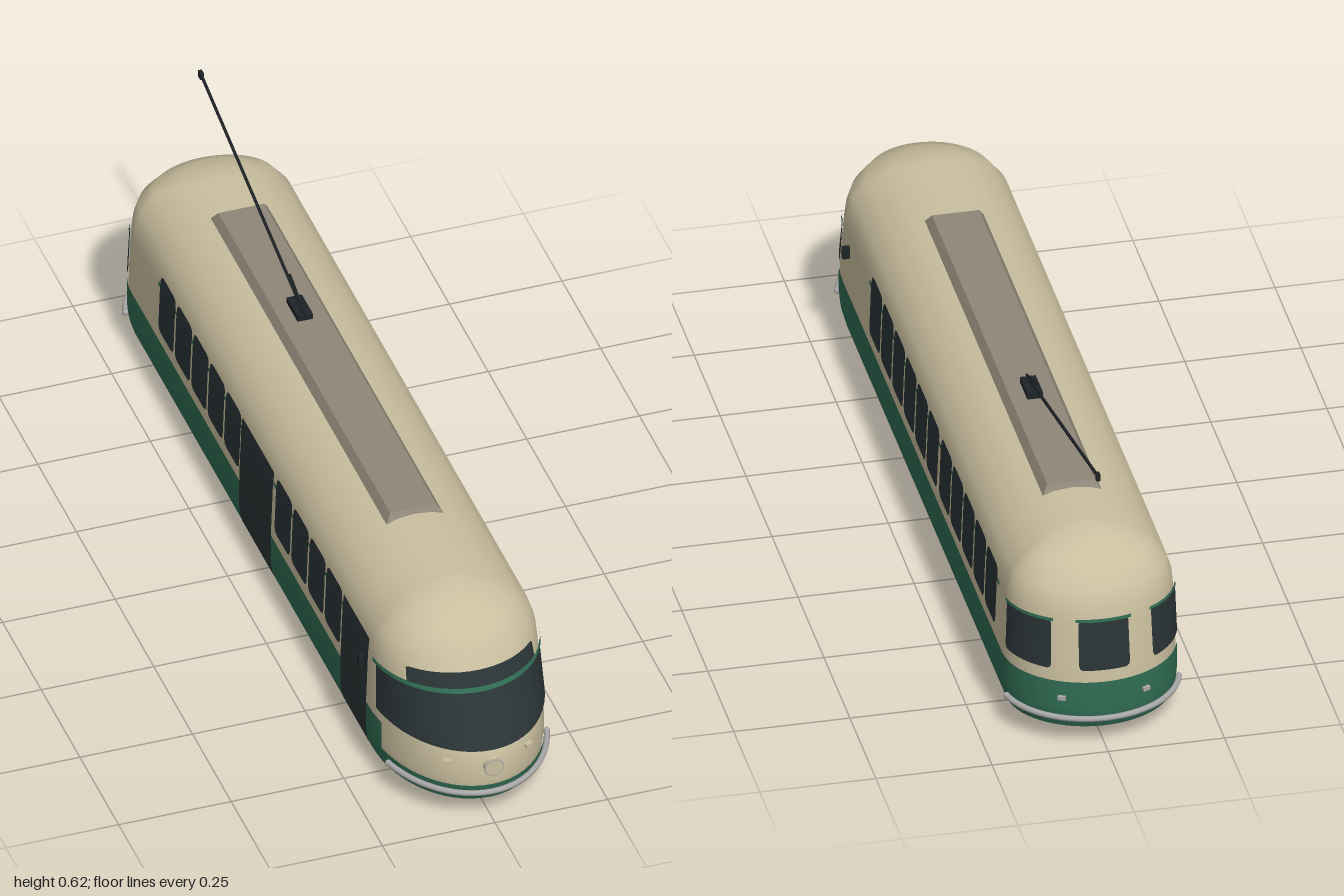
import * as THREE from 'three';

// Body sections: y, half width, front z, front arc centre, back z, back arc centre
const SECTIONS = [
  [0.045, 0.174, 0.965, 0.72, -0.965, -0.81],
  [0.07, 0.181, 0.978, 0.72, -0.976, -0.81],
  [0.1, 0.184, 0.982, 0.72, -0.976, -0.81],
  [0.18, 0.183, 0.982, 0.72, -0.97, -0.81],
  [0.29, 0.179, 0.913, 0.72, -0.955, -0.81],
  [0.325, 0.176, 0.89, 0.72, -0.948, -0.81],
  [0.36, 0.165, 0.875, 0.72, -0.935, -0.81],
  [0.4, 0.133, 0.845, 0.72, -0.9, -0.81],
  [0.425, 0.085, 0.79, 0.71, -0.86, -0.79],
  [0.437, 0.04, 0.74, 0.7, -0.81, -0.77],
  [0.44, 0, 0.7, 0.7, -0.77, -0.77],
];
const STEP = 1 / 14;

function section(y) {
  let i = 0;
  while (i < SECTIONS.length - 2 && y > SECTIONS[i + 1][0]) i++;
  const a = SECTIONS[i], b = SECTIONS[i + 1];
  const k = (y - a[0]) / (b[0] - a[0]);
  return a.map((v, j) => v + (b[j] - v) * k);
}

// Point on the shell. t: 0 nose, 1..2 left side, 3 tail; negative t is the right side.
function shell(t, y, d = 0) {
  if (t > 3) t -= 6;
  const [, w, zf, cf, zb, cb] = section(y);
  const s = t < 0 ? -1 : 1, u = Math.abs(t);
  if (u <= 1) {
    const a = u * Math.PI / 2;
    return [s * (w + d) * Math.sin(a), y, cf + (zf - cf + d) * Math.cos(a)];
  }
  if (u <= 2) return [s * (w + d), y, cf + (cb - cf) * (u - 1)];
  const a = (3 - u) * Math.PI / 2;
  return [s * (w + d) * Math.sin(a), y, cb + (zb - cb - d) * Math.cos(a)];
}
const atZ = (z) => 1 + (0.72 - z) / 1.53;

// Grid of points; closed joins the last column to the first
function grid(cols, rows, fn, closed = false) {
  const pos = [], idx = [], n = cols.length;
  rows.forEach((r, j) => cols.forEach((c) => pos.push(...fn(c, r, j))));
  for (let j = 0; j < rows.length - 1; j++) {
    for (let i = 0; i < (closed ? n : n - 1); i++) {
      const a = j * n + i, b = j * n + (i + 1) % n;
      idx.push(a, b, b + n, a, b + n, a + n);
    }
  }
  const g = new THREE.BufferGeometry();
  g.setAttribute('position', new THREE.Float32BufferAttribute(pos, 3));
  g.setIndex(idx);
  g.computeVertexNormals();
  return g;
}

// Painted or glazed area lying on the shell, with optional rounded corners
function patch(t0, t1, y0, y1, d, round = 0) {
  const cols = [t0];
  for (let k = Math.floor(t0 / STEP) + 1; k * STEP < t1 - 1e-4; k++) {
    if (k * STEP > t0 + 1e-4) cols.push(k * STEP);
  }
  cols.push(t1);
  const ys = [0, 0.03, 0.1, 0.9, 0.97, 1].map((f) => y0 + f * (y1 - y0));
  SECTIONS.forEach(([y]) => { if (y > y0 + 1e-4 && y < y1 - 1e-4) ys.push(y); });
  ys.sort((a, b) => a - b);
  const mid = (t0 + t1) / 2, half = (t1 - t0) / 2;
  return grid(cols, ys, (t, y) => {
    const f = (y - y0) / (y1 - y0);
    const k = Math.max(0, 1 - Math.min(f, 1 - f) / 0.1);
    const inset = round * (1 - Math.sqrt(1 - k * k));
    return shell(mid + (t - mid) * (1 - inset / half), y, d);
  });
}

export function createModel() {
  const model = new THREE.Group();
  const mat = (name, color) => {
    const m = new THREE.MeshStandardMaterial({ color });
    m.name = name;
    return m;
  };
  const cream = mat('cream paint', 0xcabf9f);
  const green = mat('green paint', 0x2f6b52);
  const glass = mat('dark glass', 0x2a3335);
  const black = mat('black underframe', 0x1e2326);
  const silver = mat('silver trim', 0xa9a8a8);
  const roofGrey = mat('roof grey', 0x8f8778);
  const add = (name, geo, m, x = 0, y = 0, z = 0) => {
    const mesh = new THREE.Mesh(geo, m);
    mesh.name = name;
    mesh.position.set(x, y, z);
    model.add(mesh);
    return mesh;
  };
  const box = (name, w, h, d, m, x, y, z) => add(name, new THREE.BoxGeometry(w, h, d), m, x, y, z);

  // Body shell and floor
  const around = Array.from({ length: 84 }, (_, i) => -3 + i * STEP);
  add('body', grid(around, SECTIONS.map((s) => s[0]), (t, y) => shell(t, y), true), cream);
  add('floor', grid(around, [0, 1], (t, v) => {
    const [x, y, z] = shell(t, 0.045);
    return [x * v, y, z * v];
  }, true), black);

  // Green skirt, lower nose bands and belt lines
  add('skirt', patch(0.83, 5.17, 0.046, 0.157, 0.003), green);
  add('noseSkirt', patch(-0.83, 0.83, 0.046, 0.09, 0.003), green);
  add('noseStripe', patch(-0.93, 0.93, 0.288, 0.297, 0.006), green);
  add('leftStripe', patch(atZ(0.49), atZ(-0.76), 0.289, 0.298, 0.002), green);
  add('rightStripe', patch(-atZ(-0.65), -atZ(0.55), 0.289, 0.298, 0.002), green);

  // Windscreen
  add('windscreen', patch(-0.89, 0.89, 0.18, 0.29, 0.003), glass);
  add('windscreenTop', patch(-0.57, 0.57, 0.29, 0.325, 0.003, 0.04), glass);

  // Side windows and doors
  const sideWindow = (side, z, width) => {
    const a = atZ(z), b = atZ(z - width);
    const g = side > 0 ? patch(a, b, 0.185, 0.325, 0.004, 0.01) : patch(-b, -a, 0.185, 0.325, 0.004, 0.01);
    add('sideWindow', g, glass);
  };
  for (let i = 0; i < 6; i++) sideWindow(1, 0.466 - i * 0.11, 0.1);
  for (let i = 0; i < 5; i++) sideWindow(1, -0.205 - i * 0.11, 0.1);
  for (let i = 0; i < 4; i++) sideWindow(-1, 0.54 - i * 0.108, 0.099);
  for (let i = 0; i < 5; i++) sideWindow(-1, -0.112 - i * 0.106, 0.097);
  for (const [z0, z1] of [[0.715, 0.55], [0.1, -0.105]]) {
    add('door', patch(-atZ(z1), -atZ(z0), 0.055, 0.325, 0.005), glass);
  }

  // Rear windows with a green line over each
  for (const [a, b] of [[2.1, 2.6], [2.81, 3.19], [3.4, 3.9]]) {
    add('rearWindow', patch(a, b, 0.185, 0.3, 0.004, 0.03), glass);
    add('rearStripe', patch(a - 0.02, b + 0.02, 0.295, 0.302, 0.006), green);
  }

  // Bumpers follow the rounded ends
  for (const [name, a, b] of [['frontBumper', -0.75, 0.75], ['rearBumper', 2.15, 3.85]]) {
    const pts = Array.from({ length: 25 }, (_, i) => new THREE.Vector3(...shell(a + (b - a) * i / 24, 0.074, 0.009)));
    const bar = new THREE.TubeGeometry(new THREE.CatmullRomCurve3(pts), 48, 0.0065, 8);
    add(name, bar, silver);
    for (const p of [pts[0], pts[24]]) add('bumperEnd', new THREE.SphereGeometry(0.0075, 8, 6), silver, p.x, p.y, p.z);
  }

  // Headlight and marker lamps
  const lamp = add('headlight', new THREE.CylinderGeometry(0.019, 0.02, 0.02, 20), cream, 0, 0.141, 0.986);
  lamp.rotation.x = Math.PI / 2;
  add('headlightRim', new THREE.TorusGeometry(0.0195, 0.002, 6, 24), silver, 0, 0.141, 0.994);
  for (const s of [-1, 1]) {
    const f = shell(s * 0.32, 0.151);
    box('frontMarker', 0.017, 0.008, 0.02, cream, f[0], f[1], f[2]).rotation.y = s * 0.35;
    const r = shell(s * 2.68, 0.12);
    box('tailLamp', 0.017, 0.009, 0.02, silver, r[0], r[1], r[2]).rotation.y = -s * 0.4;
    box('mirror', 0.016, 0.027, 0.011, black, s * 0.188, 0.25, 0.685);
  }

  // Raised roof deck with sloping edges
  const deck = new THREE.BoxGeometry(0.13, 0.022, 1.14);
  const p = deck.attributes.position;
  for (let i = 0; i < p.count; i++) {
    if (p.getY(i) > 0) p.setXYZ(i, p.getX(i) * 0.78, p.getY(i), p.getZ(i) * 0.975);
  }
  deck.computeVertexNormals();
  add('roofDeck', deck, roofGrey, 0, 0.439, -0.085);

  // Trolley pole, base and spring
  const rod = (name, a, b, r) => {
    const A = new THREE.Vector3(...a), B = new THREE.Vector3(...b);
    add(name, new THREE.TubeGeometry(new THREE.LineCurve3(A, B), 1, r, 8), black);
  };
  box('poleBase', 0.034, 0.014, 0.072, black, 0, 0.456, -0.262);
  rod('trolleyPole', [0, 0.458, -0.22], [0, 0.618, -0.9], 0.0035);
  rod('poleSpring', [0, 0.46, -0.215], [0, 0.5, -0.325], 0.0025);
  box('poleShoe', 0.008, 0.016, 0.014, black, 0, 0.617, -0.9);

  // Bogies
  for (const z of [0.517, -0.517]) {
    for (const s of [-1, 1]) {
      box('bogieFrame', 0.014, 0.012, 0.35, black, s * 0.113, 0.04, z);
      for (const dz of [-0.132, 0.132]) {
        const wheel = add('wheel', new THREE.CylinderGeometry(0.045, 0.045, 0.018, 24), black, s * 0.099, 0.045, z + dz);
        wheel.rotation.z = Math.PI / 2;
      }
    }
  }
  return model;
}
